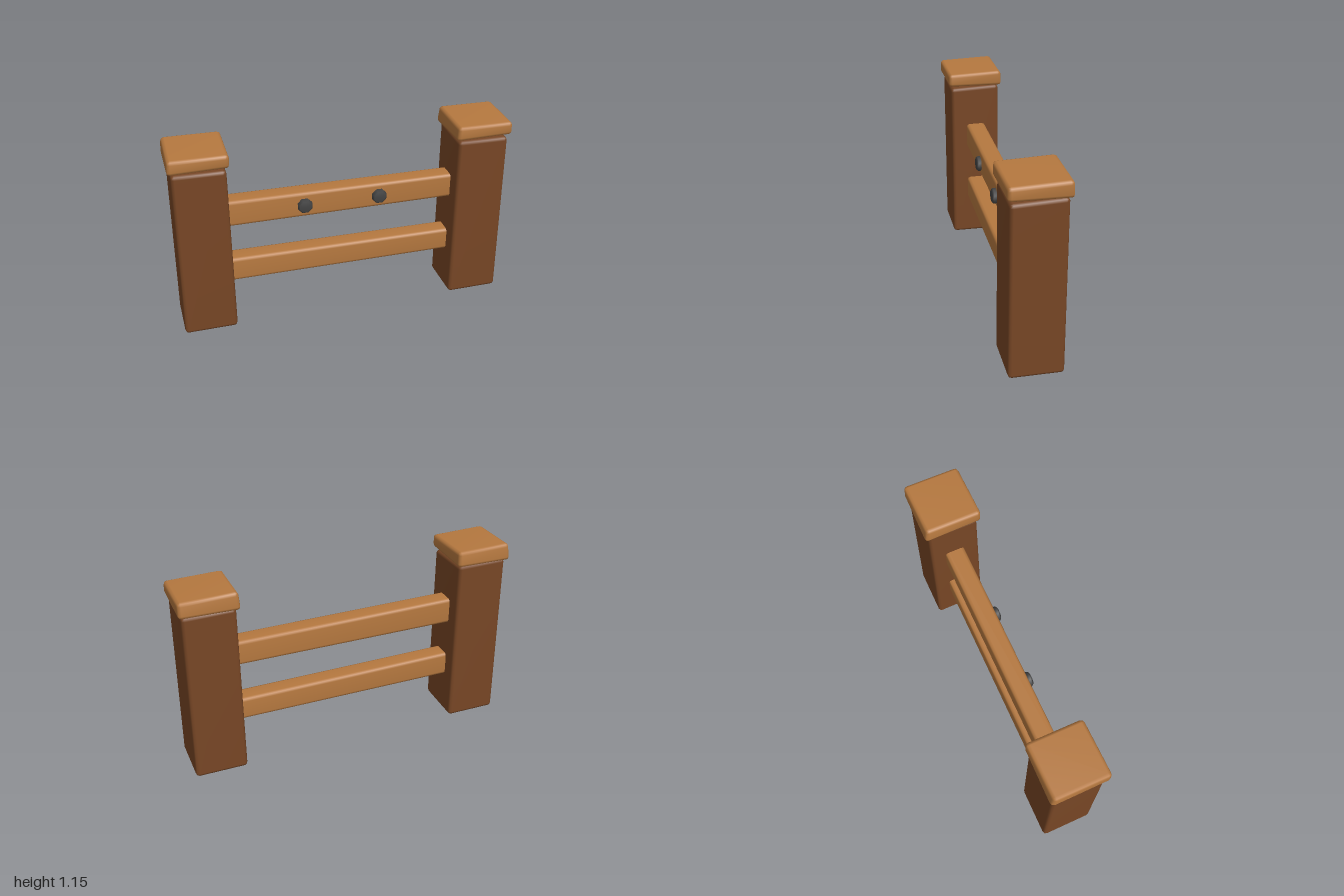
import * as THREE from 'three';
import { mergeVertices } from 'three/addons/utils/BufferGeometryUtils.js';
import { RoundedBoxGeometry } from 'three/addons/geometries/RoundedBoxGeometry.js';

const mat = (name, color) => {
  const m = new THREE.MeshStandardMaterial({ color });
  m.name = name;
  return m;
};

// Bevelled block, bent slightly by a rule so it looks hand-cut, with soft shading
function block(w, h, d, bevel, warp) {
  let geo = new RoundedBoxGeometry(w, h, d, 1, bevel);
  geo.deleteAttribute('normal');
  geo.deleteAttribute('uv');
  geo.clearGroups();
  geo = mergeVertices(geo, 1e-4);
  const pos = geo.attributes.position;
  const v = new THREE.Vector3();
  for (let i = 0; i < pos.count; i++) {
    warp(v.fromBufferAttribute(pos, i));
    pos.setXYZ(i, v.x, v.y, v.z);
  }
  geo.computeVertexNormals();
  return geo;
}

export function createModel() {
  const group = new THREE.Group();
  group.name = 'fence';
  const darkWood = mat('dark wood', 0x774625);
  const lightWood = mat('light wood', 0xb5783f);
  const iron = mat('dark iron', 0x444444);

  const add = (name, geo, material, x, y, z) => {
    const mesh = new THREE.Mesh(geo, material);
    mesh.name = name;
    mesh.position.set(x, y, z);
    group.add(mesh);
  };

  // Posts taper a little upwards and lean down at the front
  const postGeo = block(0.308, 1.04, 0.308, 0.02, (v) => {
    const s = 1 - 0.024 * v.y;
    v.x *= s;
    v.z *= s;
    v.y += (v.y > 0 ? -0.03 : 0.02) * v.z - 0.01 * v.x * Math.sign(v.y);
  });
  // Caps are thicker at the back, with uneven sides
  const capGeo = block(0.338, 0.09, 0.338, 0.02, (v) => {
    const up = v.y > 0 ? 1 : -1;
    v.y += -0.025 * v.z * up - 0.012 * v.x * up;
    if (v.x < 0) v.x -= 0.06 * v.y;
    if (v.x < 0) v.x += 0.12 * v.y;
    if (v.z < 0) v.z += 0.1 * v.y - 0.01 * v.x * up;
    else v.z -= 0.015 * v.x;
  });
  for (const [side, x] of [['right', -0.83], ['left', 0.825]]) {
    add(side + 'Post', postGeo, darkWood, x, 0.526, 0);
    add(side + 'Cap', capGeo, lightWood, x, 1.1, 0);
  }

  // Rails run into both posts
  const railWarp = (v) => { v.y += -0.004 * v.x * Math.sign(v.y); };
  add('upperRail', block(1.5, 0.155, 0.12, 0.02, railWarp), lightWood, 0, 0.716, -0.003);
  add('lowerRail', block(1.5, 0.144, 0.12, 0.02, railWarp), lightWood, 0, 0.341, -0.003);

  // Bolt heads with a chamfered rim
  const boltProfile = [[0, -0.03], [0.045, -0.03], [0.045, 0.024], [0.036, 0.034], [0, 0.034]]
    .map(([r, y]) => new THREE.Vector2(r, y));
  const boltGeo = new THREE.LatheGeometry(boltProfile, 8);
  boltGeo.rotateY(Math.PI / 8).rotateX(Math.PI / 2);
  for (const x of [-0.228, 0.222]) add('bolt', boltGeo, iron, x, 0.716, 0.05);

  return group;
}
